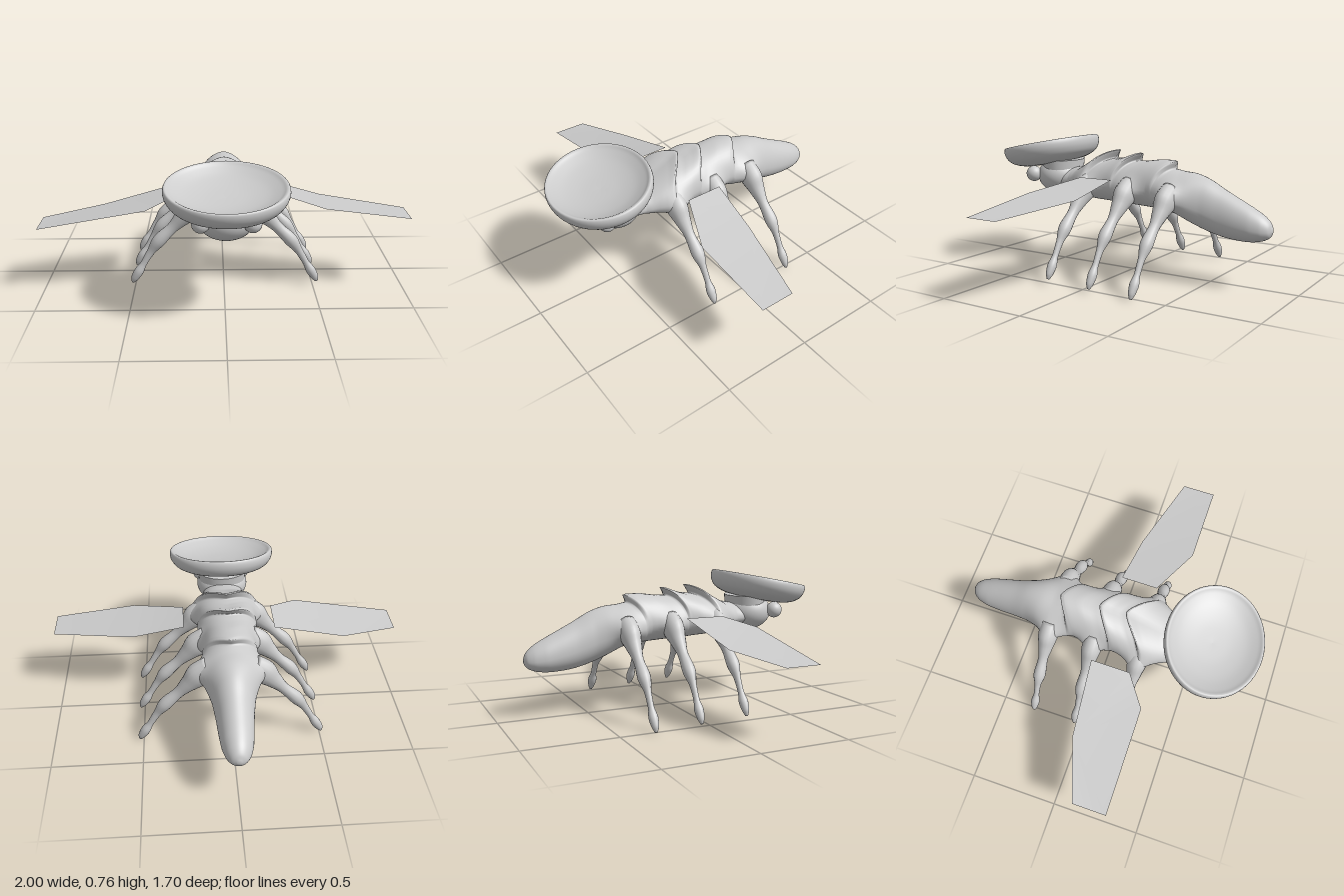
import * as THREE from 'three';

const material = new THREE.MeshStandardMaterial({ color: 0xcccccc });
const thin = new THREE.MeshStandardMaterial({ color: 0xcccccc, side: THREE.DoubleSide });
const legZ = { front: 0.215, middle: -0.052, hind: -0.31 };
const legLift = { front: 0.025, middle: 0.012, hind: 0 };

function mesh(name, geometry, mat = material) {
  const m = new THREE.Mesh(geometry, mat);
  m.name = name;
  return m;
}

// Skin over closed rings of points, capped at both ends.
function loft(rings) {
  const n = rings[0].length, pos = [], idx = [];
  rings.forEach(r => r.forEach(p => pos.push(p.x, p.y, p.z)));
  for (let i = 0; i < rings.length - 1; i++) {
    for (let j = 0; j < n; j++) {
      const k = (j + 1) % n, a = i * n, b = a + n;
      idx.push(a + j, b + j, a + k, a + k, b + j, b + k);
    }
  }
  [0, rings.length - 1].forEach((r, end) => {
    const c = rings[r].reduce((s, p) => s.add(p), new THREE.Vector3()).divideScalar(n);
    const tip = pos.length / 3;
    pos.push(c.x, c.y, c.z);
    for (let j = 0; j < n; j++) {
      const p = r * n + j, q = r * n + (j + 1) % n;
      if (end) idx.push(p, tip, q); else idx.push(p, q, tip);
    }
  });
  const g = new THREE.BufferGeometry();
  g.setAttribute('position', new THREE.Float32BufferAttribute(pos, 3));
  g.setIndex(idx);
  g.computeVertexNormals();
  return g;
}

// Oval body section; plate lips sweep forward down the flanks, hips swell at the legs.
function bodyRing([z0, top, bottom, half, sweep]) {
  const mid = bottom + (top - bottom) * 0.42, ring = [];
  for (let j = 0; j < 48; j++) {
    const a = (j / 48) * Math.PI * 2, s = Math.sin(a), c = Math.cos(a);
    const y = mid + s * (s > 0 ? top - mid : mid - bottom);
    const z = z0 + sweep * (s > 0 ? Math.pow(Math.abs(c), 1.3) : 1);
    let hip = 0;
    for (const h of Object.values(legZ)) hip += Math.exp(-(((z - h) / 0.065) ** 2));
    const swell = 0.06 * hip * Math.exp(-(((y - 0.475) / 0.07) ** 2));
    ring.push(new THREE.Vector3(0.004 + c * half + Math.sign(c) * Math.abs(c) * swell, y, z));
  }
  return ring;
}

// Straight run of sections, subdivided between the keys.
function straightSections(keys, steps) {
  return keys.slice(1).flatMap((k, i) => Array.from({ length: steps }, (_, s) =>
    k.map((v, c) => THREE.MathUtils.lerp(keys[i][c], v, s / steps))));
}

// Smooth run of sections through the keys.
function smoothSections(keys, steps) {
  const p = new THREE.CatmullRomCurve3(keys.map(k => new THREE.Vector3(k[0], k[1], k[2])));
  const w = new THREE.CatmullRomCurve3(keys.map(k => new THREE.Vector3(k[3], 0, 0)));
  return Array.from({ length: steps + 1 }, (_, i) => {
    const a = p.getPoint(i / steps), b = w.getPoint(i / steps);
    return [a.x, a.y, a.z, b.x, 0];
  });
}

function makeBody() {
  // z, top, bottom, half width, sweep: three overlapping plates with undercut rear lips
  const thorax = straightSections([
    [0.48, 0.57, 0.45, 0.11, 0], [0.38, 0.58, 0.44, 0.125, 0], [0.30, 0.595, 0.433, 0.14, 0.05],
    [0.21, 0.638, 0.42, 0.16, 0.09], [0.15, 0.667, 0.41, 0.168, 0.12],
    [0.10, 0.696, 0.41, 0.172, 0.14], [0.086, 0.694, 0.41, 0.172, 0.145],
    [0.12, 0.645, 0.41, 0.172, 0.10], [0.06, 0.65, 0.405, 0.176, 0.12],
    [0.0, 0.667, 0.40, 0.174, 0.12], [-0.045, 0.685, 0.395, 0.168, 0.112],
    [-0.062, 0.682, 0.395, 0.166, 0.112], [-0.025, 0.638, 0.395, 0.162, 0.065],
    [-0.10, 0.643, 0.395, 0.15, 0.09], [-0.18, 0.655, 0.39, 0.145, 0.10],
    [-0.265, 0.657, 0.385, 0.148, 0.10], [-0.287, 0.65, 0.382, 0.15, 0.095],
    [-0.268, 0.61, 0.38, 0.152, 0.06], [-0.32, 0.60, 0.365, 0.152, 0],
  ], 4);
  const abdomen = smoothSections([
    [-0.32, 0.60, 0.365, 0.152], [-0.40, 0.593, 0.325, 0.14], [-0.48, 0.568, 0.292, 0.116],
    [-0.57, 0.52, 0.267, 0.101], [-0.66, 0.475, 0.256, 0.092], [-0.74, 0.435, 0.256, 0.082],
    [-0.80, 0.40, 0.268, 0.064], [-0.835, 0.367, 0.288, 0.04], [-0.85, 0.335, 0.315, 0.01],
  ], 48);
  return mesh('body', loft([...thorax, ...abdomen].map(bodyRing)));
}

// Leg flaring out of the hip, with a swollen knee and foot.
function makeLeg(part, side) {
  const keys = [ // x, y, radius in the leg's plane, radius along the body
    [0.11, 0.495, 0.07, 0.055], [0.17, 0.455, 0.073, 0.056], [0.225, 0.40, 0.05, 0.043],
    [0.292, 0.33, 0.031, 0.028], [0.36, 0.262, 0.037, 0.035], [0.41, 0.193, 0.022, 0.018],
    [0.45, 0.125, 0.018, 0.016], [0.48, 0.075, 0.026, 0.025], [0.505, 0.033, 0.021, 0.018],
    [0.516, 0.008, 0.008, 0.007],
  ];
  const path = new THREE.CatmullRomCurve3(
    keys.map(k => new THREE.Vector3(k[0], k[1] + legLift[part], 0)));
  const size = new THREE.CatmullRomCurve3(keys.map(k => new THREE.Vector3(k[2], k[3], 0)));
  const rings = [];
  for (let i = 0; i <= 40; i++) {
    const p = path.getPoint(i / 40), d = path.getTangent(i / 40), r = size.getPoint(i / 40);
    rings.push(Array.from({ length: 16 }, (_, j) => {
      const a = (j / 16) * Math.PI * 2, u = r.x * Math.cos(a);
      return new THREE.Vector3(p.x - d.y * u, p.y + d.x * u, -r.y * Math.sin(a));
    }));
  }
  const leg = mesh(part + (side > 0 ? 'LeftLeg' : 'RightLeg'), loft(rings));
  leg.position.set(0.005, 0, legZ[part]);
  if (side < 0) leg.rotation.y = Math.PI;
  return leg;
}

// Thin six-cornered wing.
function makeWing(name, corners) {
  const g = new THREE.BufferGeometry();
  g.setAttribute('position', new THREE.Float32BufferAttribute(corners.flat(), 3));
  g.setIndex([0, 5, 1, 5, 4, 1, 4, 3, 1, 3, 2, 1]);
  g.computeVertexNormals();
  return mesh(name, g, thin);
}

// Shallow oval dish with a thick rounded lip, tipped forward.
function makeDish() {
  const profile = new THREE.SplineCurve([
    [0, -0.122], [0.45, -0.119], [0.7, -0.107], [0.88, -0.083], [0.97, -0.05], [1, -0.018],
    [0.985, 0.006], [0.94, 0.008], [0.86, -0.008], [0.65, -0.034], [0.35, -0.051], [0, -0.056],
  ].map(p => new THREE.Vector2(...p))).getPoints(44);
  profile.forEach(p => { p.x = Math.max(0, p.x); });
  const dish = mesh('dish', new THREE.LatheGeometry(profile, 56));
  dish.scale.set(0.313, 1, 0.272);
  dish.rotation.x = 0.2;
  dish.position.set(0.005, 0.708, 0.583);
  return dish;
}

export function createModel() {
  const model = new THREE.Group();
  model.name = 'insect';
  model.add(makeBody(), makeDish());

  // Head, the neck holding the dish, and eyes
  const head = mesh('head', new THREE.SphereGeometry(1, 40, 28));
  head.scale.set(0.152, 0.113, 0.137);
  head.position.set(0.005, 0.525, 0.507);
  const neck = mesh('neck', new THREE.CylinderGeometry(0.145, 0.135, 0.09, 32));
  neck.scale.z = 0.8;
  neck.position.set(0.005, 0.575, 0.495);
  model.add(head, neck);
  for (const s of [-1, 1]) {
    const eye = mesh(s > 0 ? 'leftEye' : 'rightEye', new THREE.SphereGeometry(0.046, 24, 18));
    eye.position.set(0.005 + s * 0.128, 0.535, 0.62);
    model.add(eye);
  }

  // Three pairs of legs
  for (const part of Object.keys(legZ)) model.add(makeLeg(part, 1), makeLeg(part, -1));

  // Wings, slightly uneven from side to side
  model.add(
    makeWing('leftWing', [[0.25, 0.557, -0.015], [0.54, 0.482, 0.015], [1, 0.44, 0.135],
      [1, 0.44, 0.32], [0.54, 0.498, 0.32], [0.25, 0.557, 0.19]]),
    makeWing('rightWing', [[-0.26, 0.537, -0.02], [-0.67, 0.43, 0.015], [-1, 0.393, 0.13],
      [-1, 0.393, 0.32], [-0.42, 0.493, 0.32], [-0.26, 0.537, 0.2]]),
  );
  return model;
}
